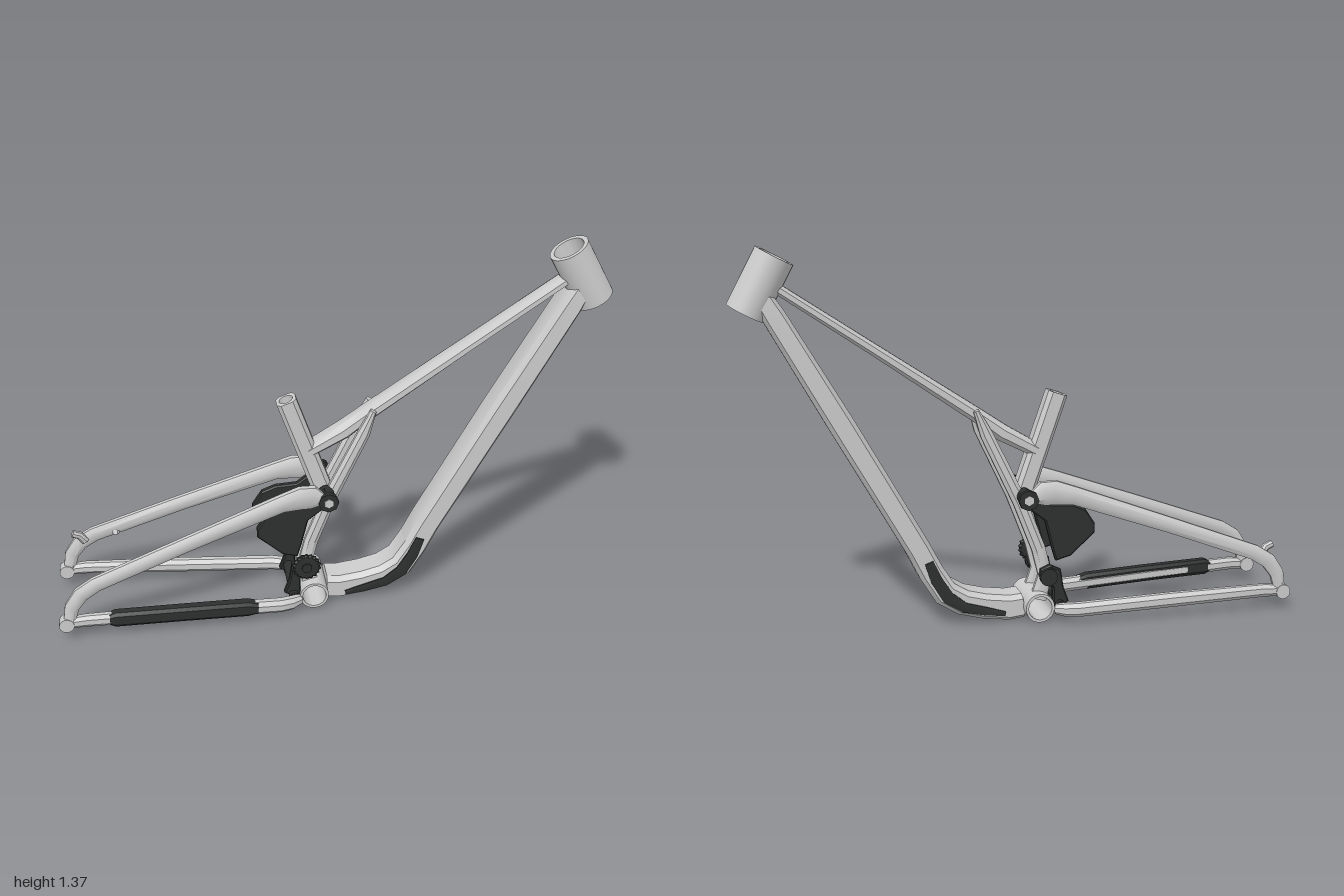
import * as THREE from 'three';
import { toCreasedNormals } from 'three/addons/utils/BufferGeometryUtils.js';

const grey = new THREE.MeshStandardMaterial({ color: 0xcccccc });
const dark = new THREE.MeshStandardMaterial({ color: 0x2e3030 });

export function createModel() {
  const model = new THREE.Group();

  function add(name, geometry, material = grey) {
    const mesh = new THREE.Mesh(geometry, material);
    mesh.name = name;
    model.add(mesh);
    return mesh;
  }

  // Chamfered bar along points [x, y, z, height, width], mitred at the bends
  function bar(name, points, chamfer = 0.28, material = grey) {
    const P = points.map((p) => new THREE.Vector3(p[0], p[1], p[2]));
    const pos = [], index = [], n = P.length, Z = new THREE.Vector3(0, 0, 1);
    const k = 1 - 2 * chamfer;
    const ring = [[1, -k], [1, k], [k, 1], [-k, 1], [-1, k], [-1, -k], [-k, -1], [k, -1]];
    for (let i = 0; i < n; i++) {
      const into = P[Math.max(i, 1)].clone().sub(P[Math.max(i, 1) - 1]).normalize();
      const out = P[Math.min(i + 1, n - 1)].clone().sub(P[Math.min(i + 1, n - 1) - 1]).normalize();
      const t = into.clone().add(out).normalize();
      const miter = 1 / Math.max(t.dot(into), 0.6);
      const up = Z.clone().cross(t).normalize();
      const side = t.clone().cross(up);
      for (const [u, v] of ring) {
        const q = P[i].clone()
          .addScaledVector(up, u * points[i][3] / 2 * miter)
          .addScaledVector(side, v * points[i][4] / 2);
        pos.push(q.x, q.y, q.z);
      }
    }
    for (let i = 0; i < n - 1; i++) {
      for (let j = 0; j < 8; j++) {
        const a = i * 8 + j, b = i * 8 + (j + 1) % 8;
        index.push(a, b, a + 8, b, b + 8, a + 8);
      }
    }
    const e = (n - 1) * 8;
    for (let j = 1; j < 7; j++) index.push(0, j + 1, j, e, e + j, e + j + 1);
    const g = new THREE.BufferGeometry();
    g.setAttribute('position', new THREE.Float32BufferAttribute(pos, 3));
    g.setIndex(index);
    return add(name, toCreasedNormals(g, 0.6), material);
  }

  // Open round tube between two points
  function tube(name, a, b, outer, inner) {
    const A = new THREE.Vector3(...a), d = new THREE.Vector3(...b).sub(A), L = d.length();
    const profile = [[inner, 0], [outer, 0], [outer, L], [inner, L], [inner, 0]]
      .map((p) => new THREE.Vector2(...p));
    const mesh = add(name, toCreasedNormals(new THREE.LatheGeometry(profile, 40), 0.6));
    mesh.position.copy(A);
    mesh.quaternion.setFromUnitVectors(new THREE.Vector3(0, 1, 0), d.normalize());
  }

  // Round part lying along z
  function disc(name, x, y, z0, z1, r, material = dark, sides = 24) {
    const g = new THREE.CylinderGeometry(r, r, Math.abs(z1 - z0), sides).rotateX(Math.PI / 2);
    add(name, g, material).position.set(x, y, (z0 + z1) / 2);
  }

  // Flat plate with bevelled rim, centred on z
  function plate(name, outline, z, depth, material = dark) {
    const shape = new THREE.Shape(outline.map((p) => new THREE.Vector2(...p)));
    const g = new THREE.ExtrudeGeometry(shape, {
      depth: depth - 0.01, bevelThickness: 0.005, bevelSize: 0.005, bevelOffset: -0.005, bevelSegments: 1,
    });
    add(name, g, material).position.z = z - depth / 2 + 0.005;
  }

  // Main frame
  tube('headTube', [0.932, 1.15, 0], [0.829, 1.342, 0], 0.071, 0.055);
  tube('bottomBracketShell', [-0.07, 0.06, -0.105], [-0.07, 0.06, 0.105], 0.053, 0.043);
  bar('downTube', [
    [0.875, 1.2, 0, 0.07, 0.12], [0.84, 1.14, 0, 0.08, 0.13], [0.62, 0.755, 0, 0.09, 0.13],
    [0.36, 0.295, 0, 0.088, 0.13], [0.315, 0.205, 0, 0.09, 0.13], [0.265, 0.125, 0, 0.092, 0.13],
    [0.2, 0.085, 0, 0.092, 0.13], [0.12, 0.064, 0, 0.092, 0.13], [0.03, 0.052, 0, 0.092, 0.13],
    [-0.02, 0.057, 0, 0.09, 0.13],
  ], 0.17);
  bar('topTube', [
    [-0.075, 0.625, 0, 0.05, 0.075], [0.05, 0.695, 0, 0.06, 0.08], [0.13, 0.755, 0, 0.052, 0.08],
    [0.5, 1.01, 0, 0.04, 0.08], [0.83, 1.235, 0, 0.036, 0.075],
  ]);

  // Seat tube: chamfered square with a round bore
  const s = 0.036, c = 0.022;
  const section = new THREE.Shape([[s, -c], [s, c], [c, s], [-c, s], [-s, c], [-s, -c], [-c, -s], [c, -s]]
    .map((p) => new THREE.Vector2(...p)));
  section.holes.push(new THREE.Path().absarc(0, 0, 0.025, 0, Math.PI * 2, true));
  const seat = add('seatTube', new THREE.ExtrudeGeometry(section, { depth: 0.38, bevelEnabled: false, curveSegments: 16 })
    .rotateX(-Math.PI / 2));
  seat.position.set(-0.03, 0.47, 0);
  seat.rotation.z = Math.atan2(0.125, 0.36);

  for (const m of [-1, 1]) {
    // Struts flanking the shock opening
    bar('frameStrut', [
      [0.15, 0.785, 0.046, 0.02, 0.03], [0.115, 0.7, 0.05, 0.045, 0.032], [-0.005, 0.45, 0.05, 0.05, 0.035],
      [-0.075, 0.27, 0.05, 0.05, 0.035], [-0.1, 0.17, 0.05, 0.05, 0.035], [-0.075, 0.08, 0.05, 0.06, 0.035],
    ].map(([x, y, z, h, w]) => [x, y, z * m, h, w]));

    // Rear triangle: one bar from upper pivot round the axle to the lower pivot
    bar('rearStay', [
      [-0.045, 0.475, 0.108, 0.05, 0.035], [-0.075, 0.488, 0.11, 0.085, 0.045], [-0.12, 0.49, 0.113, 0.085, 0.045],
      [-0.19, 0.475, 0.118, 0.065, 0.042], [-0.54, 0.35, 0.145, 0.056, 0.038],
      [-0.86, 0.23, 0.168, 0.055, 0.036], [-0.915, 0.195, 0.172, 0.055, 0.036],
      [-0.95, 0.145, 0.173, 0.05, 0.034], [-0.965, 0.07, 0.173, 0.04, 0.034],
    ].map(([x, y, z, h, w]) => [x, y, z * m, h, w]));
    bar('chainstay', [
      [-0.975, 0.078, 0.173, 0.04, 0.034], [-0.9, 0.082, 0.172, 0.046, 0.036],
      [-0.55, 0.071, 0.157, 0.052, 0.042], [-0.2, 0.058, 0.142, 0.05, 0.046],
      [-0.16, 0.057, 0.132, 0.048, 0.045], [-0.125, 0.056, 0.112, 0.035, 0.035],
    ].map(([x, y, z, h, w]) => [x, y, z * m, h, w]));
    disc('dropout', -0.973, 0.075, 0.153 * m, 0.192 * m, 0.027, grey);

    // Rocker plates and lower links
    plate('rockerPlate', [
      [-0.24, 0.415], [-0.275, 0.36], [-0.275, 0.325], [-0.185, 0.245], [-0.13, 0.23], [-0.115, 0.28],
      [-0.09, 0.38], [0, 0.45], [0.005, 0.485], [-0.03, 0.5], [-0.11, 0.44], [-0.19, 0.435],
    ], 0.082 * m, 0.026);
    plate('lowerLink', [
      [-0.18, 0.075], [-0.15, 0.055], [-0.12, 0.065], [-0.12, 0.13], [-0.075, 0.16],
      [-0.075, 0.2], [-0.11, 0.215], [-0.15, 0.195], [-0.16, 0.13],
    ], 0.08 * m, 0.026);

    // Pivot hardware
    disc('upperPivot', -0.02, 0.47, 0.05 * m, 0.122 * m, 0.028);
    disc('upperPivotFlange', -0.02, 0.47, 0.113 * m, 0.132 * m, 0.037, dark, 8);
    disc('upperPivotBolt', -0.02, 0.47, 0.12 * m, 0.135 * m, 0.018, grey, 6);
    disc('lowerPivot', -0.1, 0.175, 0.05 * m, 0.105 * m, 0.025);
    disc('lowerPivotFlange', -0.1, 0.175, 0.097 * m, 0.112 * m, 0.032);
    disc('linkBolt', -0.145, 0.065, 0.06 * m, 0.11 * m, 0.018);

    // Guard strips on the flanks of the down tube
    bar('downTubeGuard', [
      [0.05, 0.038, 0.066, 0.016, 0.01], [0.12, 0.053, 0.066, 0.03, 0.01], [0.2, 0.073, 0.066, 0.036, 0.01],
      [0.26, 0.115, 0.066, 0.045, 0.01], [0.3, 0.18, 0.066, 0.042, 0.01], [0.328, 0.25, 0.066, 0.032, 0.01],
    ].map(([x, y, z, h, w]) => [x, y, z * m, h, w]), 0.1, dark);
  }

  // Axles joining the two sides of the linkage
  disc('rockerAxle', -0.2, 0.34, -0.08, 0.08, 0.022);
  disc('lowerAxle', -0.145, 0.09, -0.08, 0.08, 0.02);

  // Idler pulley with teeth, on one side only
  const teeth = [];
  for (let i = 0; i < 36; i++) {
    const a = i / 36 * Math.PI * 2, r = i % 2 ? 0.053 : 0.047;
    teeth.push([-0.103 + r * Math.cos(a), 0.215 + r * Math.sin(a)]);
  }
  plate('idlerPulley', teeth, 0.14, 0.018);
  disc('idlerHub', -0.103, 0.215, 0.09, 0.155, 0.018);

  // Chainstay protector
  bar('chainstayProtector', [
    [-0.82, 0.08, 0.171, 0.04, 0.04], [-0.8, 0.08, 0.17, 0.058, 0.044],
    [-0.55, 0.074, 0.161, 0.058, 0.046], [-0.32, 0.066, 0.151, 0.058, 0.048], [-0.285, 0.064, 0.15, 0.04, 0.048],
  ], 0.2, dark);

  // Brake mount tabs on the other stay
  bar('brakeMount', [
    [-0.895, 0.21, -0.155, 0.03, 0.024], [-0.915, 0.24, -0.148, 0.026, 0.024], [-0.94, 0.25, -0.146, 0.026, 0.024],
  ]);
  bar('brakeMountTab', [[-0.78, 0.25, -0.152, 0.03, 0.02], [-0.78, 0.235, -0.145, 0.02, 0.02]]);

  return model;
}
